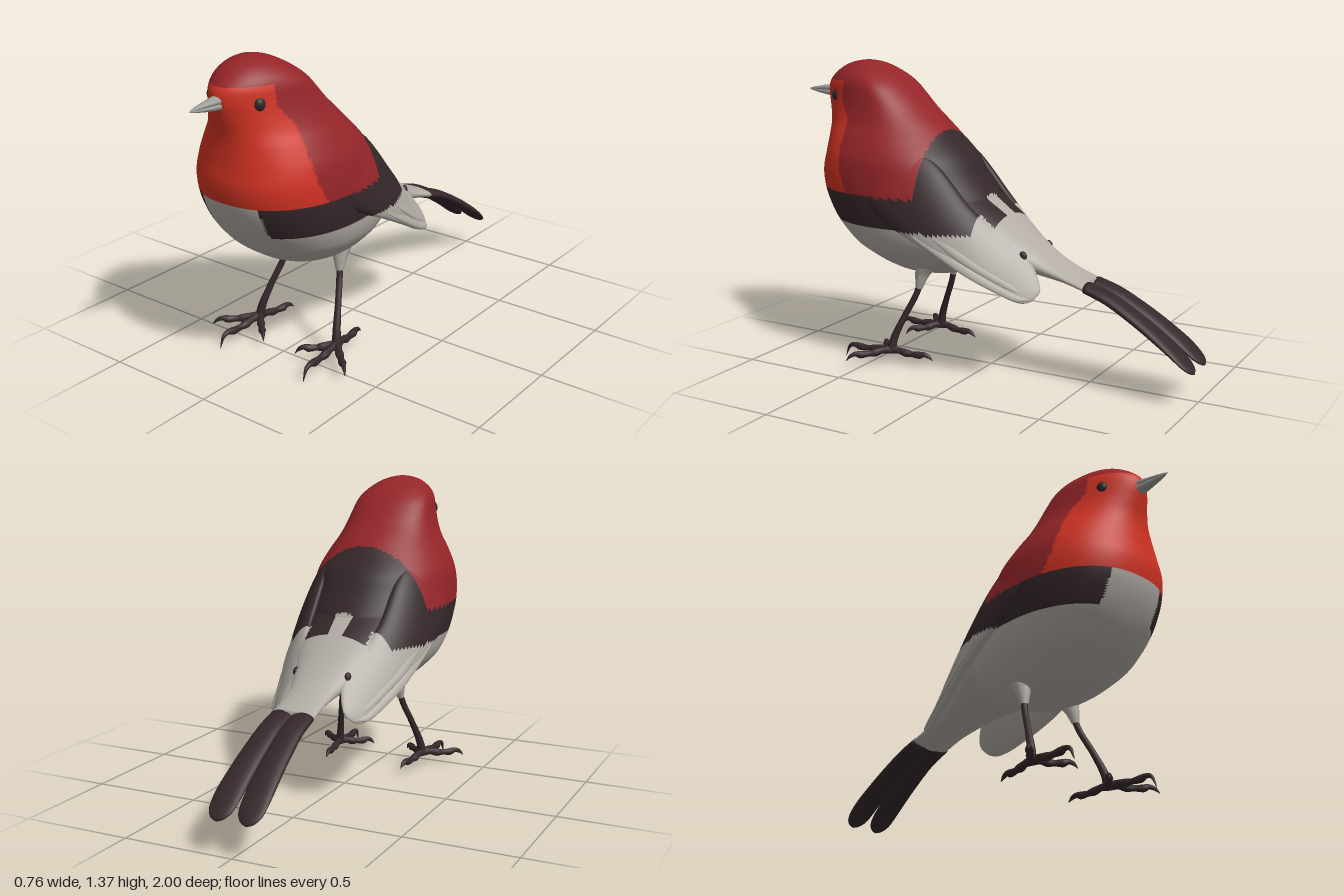
import * as THREE from 'three';

const paint = (name, color) => Object.assign(new THREE.MeshStandardMaterial({ color }), { name });
const mats = [
  paint('pale grey', 0xb2aca5), paint('dark brown', 0x35272a), paint('crimson', 0x942529),
  paint('bright red', 0xd03222), paint('beak grey', 0x9c9c96), paint('eye black', 0x2a2728),
];
const [GREY, DARK, CRIMSON, RED, BEAK, EYE] = [0, 1, 2, 3, 4, 5];

// Smooth interpolation through table rows, t from 0 to 1
function sample(rows, t) {
  const f = t * (rows.length - 1), i = Math.min(Math.floor(f), rows.length - 2), u = f - i;
  const at = k => rows[Math.max(0, Math.min(rows.length - 1, k))];
  return rows[0].map((_, c) => {
    const [a, b, d, e] = [at(i - 1)[c], at(i)[c], at(i + 1)[c], at(i + 2)[c]];
    return b + 0.5 * u * (d - a + u * (2 * a - 5 * b + 4 * d - e + u * (3 * (b - d) + e - a)));
  });
}

// Closed skin over rings of points; colorAt(x, y, z) picks the material of each face
function loft(name, point, nu, nv, colorAt) {
  const pos = [], faces = [];
  for (let i = 0; i <= nu; i++)
    for (let j = 0; j < nv; j++) pos.push(point(i / nu, (j / nv) * Math.PI * 2));
  for (const i of [0, nu]) {
    const c = [0, 0, 0];
    for (let j = 0; j < nv; j++) pos[i * nv + j].forEach((v, k) => { c[k] += v / nv; });
    pos.push(c);
  }
  const cap = (nu + 1) * nv;
  for (let j = 0; j < nv; j++) {
    const k = (j + 1) % nv;
    for (let i = 0; i < nu; i++) {
      const a = i * nv + j, b = i * nv + k, c = a + nv, d = b + nv;
      faces.push([a, c, b], [b, c, d]);
    }
    faces.push([cap, j, k], [cap + 1, nu * nv + k, nu * nv + j]);
  }
  // Signed volume tells whether the skin is inside out
  let volume = 0;
  for (const [a, b, c] of faces) {
    const [p, q, r] = [pos[a], pos[b], pos[c]];
    volume += p[0] * (q[1] * r[2] - q[2] * r[1]) + p[1] * (q[2] * r[0] - q[0] * r[2]) + p[2] * (q[0] * r[1] - q[1] * r[0]);
  }
  const buckets = mats.map(() => []);
  for (const [a, b, c] of faces) {
    const mid = [0, 1, 2].map(k => (pos[a][k] + pos[b][k] + pos[c][k]) / 3);
    buckets[colorAt(...mid)].push(...(volume < 0 ? [a, c, b] : [a, b, c]));
  }
  const geo = new THREE.BufferGeometry();
  geo.setAttribute('position', new THREE.Float32BufferAttribute(pos.flat(), 3));
  geo.setIndex(buckets.flat());
  let start = 0;
  buckets.forEach((b, m) => { if (b.length) geo.addGroup(start, b.length, m); start += b.length; });
  geo.computeVertexNormals();
  const mesh = new THREE.Mesh(geo, mats);
  mesh.name = name;
  return mesh;
}

// Loft of tilted ellipses, rows of [z, x, y, rx, ry, tilt]; side mirrors x
function ellipseLoft(name, rows, side, nu, nv, colorAt) {
  return loft(name, (t, a) => {
    const [z, x, y, rx, ry, tilt] = sample(rows, t);
    const p = rx * Math.cos(a), q = ry * Math.sin(a), c = Math.cos(tilt), s = Math.sin(tilt);
    return [side * (x + p * c - q * s), y + p * s + q * c, z];
  }, nu, nv, colorAt);
}

// Tapered tube through points of [x, y, z, radius]
function limb(name, pts, mat, segs = 18, sides = 10) {
  const curve = new THREE.CatmullRomCurve3(pts.map(p => new THREE.Vector3(p[0], p[1], p[2])));
  const geo = new THREE.TubeGeometry(curve, segs, 1, sides);
  const pos = geo.attributes.position, v = new THREE.Vector3();
  for (let i = 0; i < pos.count; i++) {
    const t = Math.floor(i / (sides + 1)) / segs, c = curve.getPointAt(t);
    const f = curve.getUtoTmapping(t) * (pts.length - 1), k = Math.min(Math.floor(f), pts.length - 2);
    const r = THREE.MathUtils.lerp(pts[k][3], pts[k + 1][3], f - k);
    v.fromBufferAttribute(pos, i).sub(c).multiplyScalar(r).add(c);
    pos.setXYZ(i, v.x, v.y, v.z);
  }
  geo.computeVertexNormals();
  const mesh = new THREE.Mesh(geo, mats[mat]);
  mesh.name = name;
  return mesh;
}

function ball(name, mat, x, y, z, sx, sy, sz) {
  const mesh = new THREE.Mesh(new THREE.SphereGeometry(1, 20, 14), mats[mat]);
  mesh.name = name;
  mesh.position.set(x, y, z);
  mesh.scale.set(sx, sy, sz);
  return mesh;
}

// Plumage regions: grey belly and rump, dark band, crimson back, red face and breast
const faceEdge = [[0.8, 0.57], [0.9, 0.62], [1.0, 0.63], [1.12, 0.63], [1.2, 0.69], [1.3, 0.69]];
function plumage(x, y, z) {
  const ax = Math.abs(x);
  const rumpEdge = ax < 0.04 ? 0 : ax < 0.15 ? -0.1 : -0.03;
  if (y < 0.66 && !(z > rumpEdge && z < 0.03 && ax < 0.15 && y > 0.62)) return GREY;
  if (z < rumpEdge) return GREY;
  if (y < 0.8) return ax < 0.15 && z > 0.3 ? GREY : DARK;
  if (z < 0.225) return DARK;
  if (y > 1.283) return CRIMSON;
  const k = Math.max(0, faceEdge.findIndex(e => e[0] > y) - 1);
  const [a, b] = [faceEdge[k], faceEdge[k + 1]];
  return z > THREE.MathUtils.mapLinear(y, a[0], b[0], a[1], b[1]) ? RED : CRIMSON;
}

export function createModel() {
  const bird = new THREE.Group();
  bird.name = 'bird';

  // Body and head: [y, front z, back z, half width, widest z, front squareness]
  const body = [
    [0.415, 0.36, 0.24, 0.04, 0.3, 2], [0.43, 0.45, 0.14, 0.12, 0.3, 2], [0.46, 0.53, 0.06, 0.18, 0.31, 2],
    [0.5, 0.6, -0.02, 0.23, 0.32, 2.1], [0.55, 0.67, -0.08, 0.275, 0.34, 2.2], [0.6, 0.72, -0.1, 0.3, 0.36, 2.2],
    [0.66, 0.765, -0.09, 0.315, 0.38, 2.3], [0.73, 0.805, -0.04, 0.325, 0.4, 2.3], [0.8, 0.83, 0, 0.33, 0.42, 2.3],
    [0.88, 0.84, 0.06, 0.325, 0.44, 2.3], [0.96, 0.83, 0.11, 0.31, 0.46, 2.2], [1.04, 0.825, 0.19, 0.272, 0.48, 2.1],
    [1.1, 0.83, 0.25, 0.235, 0.49, 2], [1.16, 0.845, 0.32, 0.21, 0.5, 1.9], [1.22, 0.86, 0.38, 0.193, 0.52, 1.8],
    [1.27, 0.855, 0.43, 0.178, 0.55, 1.8], [1.31, 0.82, 0.48, 0.15, 0.59, 1.9], [1.345, 0.77, 0.54, 0.105, 0.62, 2],
    [1.365, 0.72, 0.59, 0.06, 0.64, 2], [1.375, 0.66, 0.65, 0.01, 0.655, 2],
  ];
  bird.add(loft('body', (t, a) => {
    const [y, zf, zb, hw, zc, n] = sample(body, t);
    const c = Math.cos(a), s = Math.sin(a), e = s > 0 ? 2 / n : 1;
    return [hw * Math.sign(c) * Math.abs(c) ** e, y,
      zc + (s > 0 ? zf - zc : zc - zb) * Math.sign(s) * Math.abs(s) ** e];
  }, 130, 140, plumage));

  // Rump running into the tail
  bird.add(ellipseLoft('rump', [
    [0.2, 0, 0.7, 0.24, 0.22, 0], [0.1, 0, 0.68, 0.25, 0.19, 0], [0, 0, 0.64, 0.24, 0.15, 0],
    [-0.1, 0, 0.605, 0.2, 0.115, 0], [-0.2, 0, 0.56, 0.15, 0.078, 0], [-0.3, 0, 0.515, 0.115, 0.052, 0],
    [-0.4, 0, 0.48, 0.1, 0.032, 0], [-0.505, 0, 0.446, 0.1, 0.023, 0],
  ], 1, 70, 72, plumage));

  // Beak halves
  for (const s of [1, -1])
    bird.add(ellipseLoft(s > 0 ? 'upperBeak' : 'lowerBeak', [
      [0.8, 0, 1.223 + s * 0.012, 0.034, 0.022, 0], [0.87, 0, 1.223 + s * 0.01, 0.027, 0.017, 0],
      [0.94, 0, 1.223 + s * 0.006, 0.015, 0.01, 0], [0.985, 0, 1.223 + s * 0.002, 0.006, 0.005, 0],
      [s > 0 ? 1 : 0.99, 0, 1.223, 0.001, 0.001, 0],
    ], 1, 14, 16, () => BEAK));

  const wing = [
    [0.6, 0.25, 0.93, 0.005, 0.01, 0.1], [0.55, 0.262, 0.93, 0.025, 0.07, 0.15], [0.42, 0.275, 0.88, 0.045, 0.16, 0.25],
    [0.2, 0.255, 0.79, 0.05, 0.19, 0.35], [0, 0.23, 0.635, 0.045, 0.14, 0.42], [-0.15, 0.19, 0.53, 0.035, 0.12, 0.55],
    [-0.25, 0.17, 0.47, 0.025, 0.1, 0.6], [-0.3, 0.165, 0.44, 0.015, 0.06, 0.6], [-0.325, 0.16, 0.43, 0.004, 0.015, 0.6],
  ];
  const tail = [
    [-0.5, 0.05, 0.446, 0.052, 0.024, 0], [-0.6, 0.052, 0.412, 0.053, 0.026, 0], [-0.7, 0.055, 0.36, 0.056, 0.027, 0],
    [-0.8, 0.059, 0.3, 0.059, 0.027, 0], [-0.9, 0.064, 0.233, 0.061, 0.023, 0], [-0.96, 0.066, 0.185, 0.055, 0.018, 0],
    [-0.99, 0.067, 0.16, 0.034, 0.012, 0], [-1, 0.067, 0.15, 0.006, 0.005, 0],
  ];

  for (const s of [1, -1]) {
    const side = s > 0 ? 'left' : 'right';
    bird.add(ellipseLoft(side + 'Wing', wing, s, 80, 60, plumage));
    bird.add(ellipseLoft(side + 'TailFeather', tail, s, 30, 24, () => DARK));

    // Long flight feathers lying on the outside of the wing
    [-0.85, -0.5, -0.15, 0.2].forEach((u, k) => {
      const rows = wing.slice(3, 8).map(([z, x, y, rx, ry, tilt], i) => {
        const out = rx * Math.sqrt(1 - u * u), c = Math.cos(tilt), n = Math.sin(tilt);
        const w = [0.3, 1, 1, 0.9, 0.2][i];
        return [z + k * 0.012, x + out * c - u * ry * n, y + out * n + u * ry * c, 0.009 * w, 0.17 * ry * w, tilt];
      });
      bird.add(ellipseLoft(side + 'FlightFeather', rows, s, 36, 12, plumage));
    });

    bird.add(ball(side + 'Eye', EYE, s * 0.121, 1.215, 0.745, 0.024, 0.03, 0.027));
    bird.add(ball(side + 'RumpSpot', DARK, s * 0.125, 0.565, -0.225, 0.015, 0.024, 0.02));

    // Leg with a feathered thigh
    bird.add(limb(side + 'Thigh', [[s * 0.135, 0.49, 0.26, 0.06], [s * 0.145, 0.43, 0.28, 0.034], [s * 0.152, 0.36, 0.295, 0.016]], GREY));
    bird.add(limb(side + 'Shank', [[s * 0.148, 0.39, 0.288, 0.015], [s * 0.16, 0.33, 0.305, 0.014], [s * 0.19, 0.22, 0.355, 0.014],
      [s * 0.213, 0.12, 0.395, 0.018], [s * 0.222, 0.06, 0.405, 0.022]], DARK));

    // Toes: knuckled, arched and ending in curved claws
    const toes = { outerToe: [0.378, 0.55, 0.035], middleToe: [0.236, 0.652, 0.003], innerToe: [0.09, 0.53, 0.035], hindToe: [0.195, 0.198, 0.04] };
    for (const [name, [tx, tz, tipY]] of Object.entries(toes)) {
      const shape = [[0, 0.068, 0.021], [0.2, 0.068, 0.015], [0.36, 0.06, 0.019], [0.5, 0.058, 0.013],
        [0.68, 0.058, 0.018], [0.78, 0.064, 0.012], [0.9, 0.056, 0.009], [1, tipY, 0.001]];
      bird.add(limb(side + name[0].toUpperCase() + name.slice(1),
        shape.map(([t, y, r]) => [s * (0.222 + (tx - 0.222) * t), y, 0.405 + (tz - 0.405) * t, r]), DARK, 28, 8));
    }
  }
  return bird;
}
